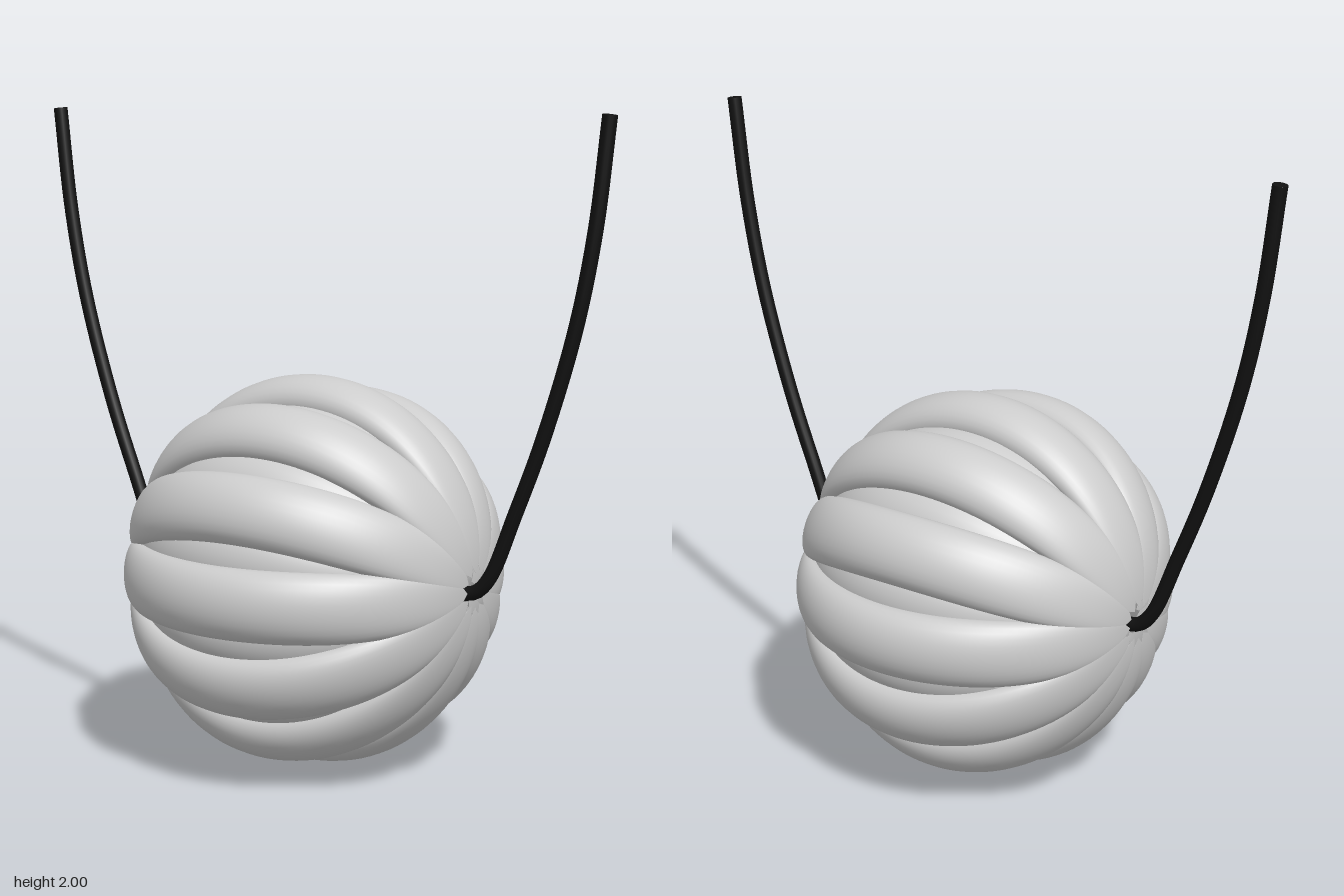
import * as THREE from 'three';
import { ParametricGeometry } from 'three/addons/geometries/ParametricGeometry.js';

const CENTER_Y = 0.603;
const HOLE = 0.05;

// One spindle-shaped lobe running pole to pole along x, bulging toward +y
function lobeGeometry(radius, halfLength, depth, width) {
  return new ParametricGeometry((u, v, target) => {
    const t = u * Math.PI;
    const s = Math.max(0, Math.sin(t));
    const swell = 1 - (1 - s) ** 2;
    const a = depth * swell;
    const b = width * swell ** 0.8;
    const outer = HOLE + (radius - HOLE) * s;
    const phi = v * Math.PI * 2;
    target.set(
      -halfLength * Math.cos(t),
      outer - a + a * Math.cos(phi),
      -b * Math.sin(phi)
    );
  }, 56, 28);
}

// Ring of lobes around the x axis, leaving a threading hole in the middle
function lobeRing(name, geometry, material, count, offset) {
  const ring = new THREE.Group();
  ring.name = name;
  for (let i = 0; i < count; i++) {
    const lobe = new THREE.Mesh(geometry, material);
    lobe.name = name + 'Lobe';
    lobe.rotation.x = ((i + offset) / count) * Math.PI * 2;
    ring.add(lobe);
  }
  return ring;
}

export function createModel() {
  const model = new THREE.Group();
  model.name = 'flutedBeadOnCord';
  const grey = new THREE.MeshStandardMaterial({ color: 0xcccccc });
  const black = new THREE.MeshStandardMaterial({ color: 0x111111 });

  // Bead: large outer lobes with smaller ones filling the grooves
  const bead = new THREE.Group();
  bead.name = 'bead';
  bead.position.y = CENTER_Y;
  bead.add(lobeRing('outer', lobeGeometry(0.603, 0.56, 0.075, 0.107), grey, 12, 0));
  bead.add(lobeRing('inner', lobeGeometry(0.535, 0.52, 0.075, 0.1), grey, 12, 0.5));
  model.add(bead);

  // Cord: threaded through the bead and rising on both sides
  const half = [
    [0.5, 0.588], [0.56, 0.598], [0.605, 0.645], [0.685, 0.84], [0.775, 1.08],
    [0.87, 1.4], [0.925, 1.68], [0.962, 2.0],
  ].map(([x, y]) => new THREE.Vector3(x, y, 0));
  const mirrored = half.map((p) => new THREE.Vector3(-p.x, p.y, 0)).reverse();
  const path = new THREE.CatmullRomCurve3(
    [...mirrored, new THREE.Vector3(0, 0.588, 0), ...half], false, 'centripetal');
  const cordRadius = 0.022;
  const cord = new THREE.Mesh(new THREE.TubeGeometry(path, 200, cordRadius, 16), black);
  cord.name = 'cord';
  model.add(cord);

  // Flat cord ends
  for (const end of [0, 1]) {
    const cap = new THREE.Mesh(new THREE.CircleGeometry(cordRadius, 16), black);
    cap.name = 'cordEnd';
    const dir = path.getTangent(end).multiplyScalar(end ? 1 : -1);
    cap.position.copy(path.getPoint(end));
    cap.quaternion.setFromUnitVectors(new THREE.Vector3(0, 0, 1), dir);
    model.add(cap);
  }
  return model;
}
